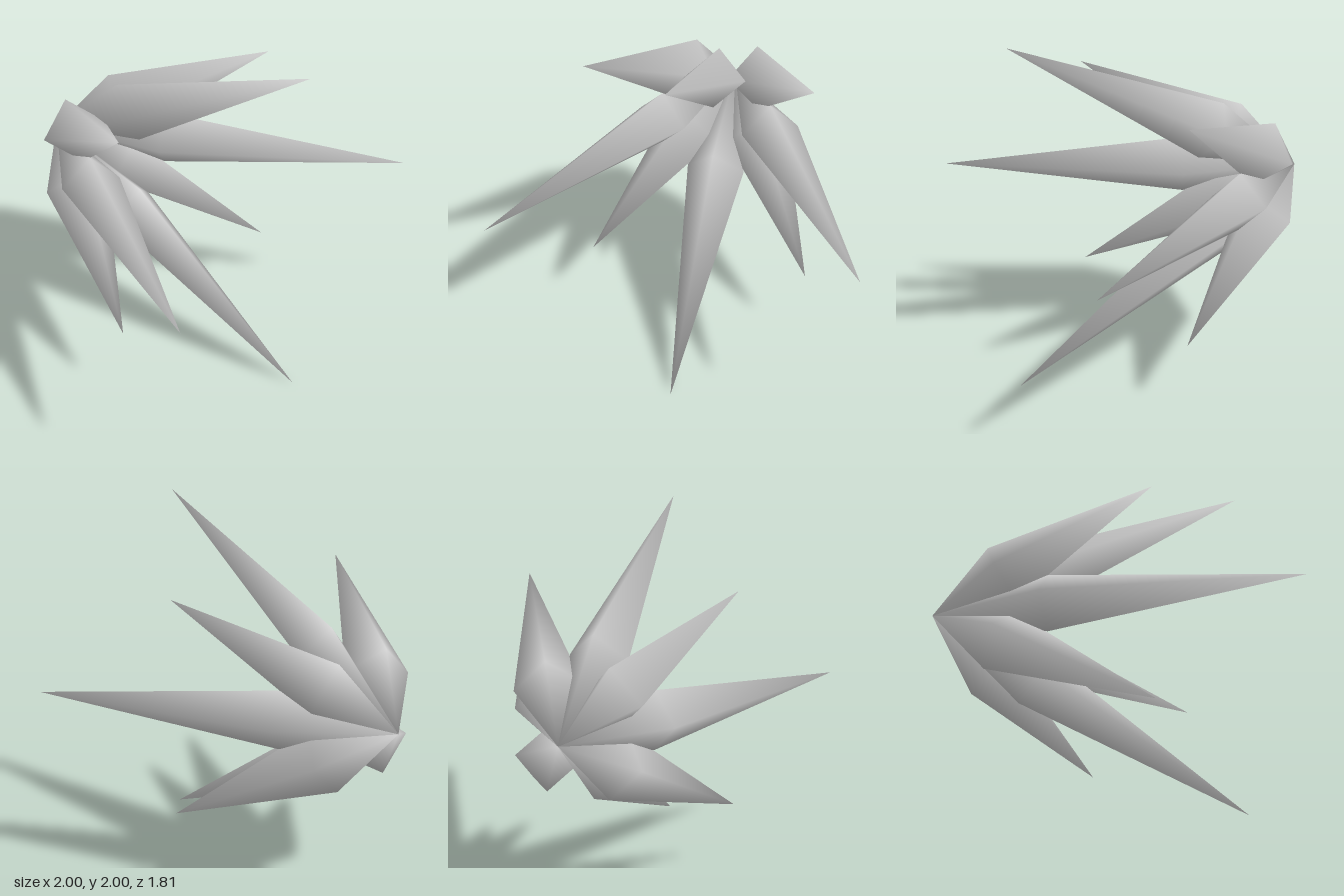
import * as THREE from 'three';

const BACK_Z = -0.905;

// Four-sided spike: back apex, ring of four corners around its axis, front tip.
function spikeGeometry(tipRadius, tipZ, ringRadius, ringAt, twist) {
  const apex = new THREE.Vector3(0, 0, BACK_Z);
  const tip = new THREE.Vector3(0, tipRadius, tipZ);
  const axis = tip.clone().sub(apex).normalize();
  const side = new THREE.Vector3(1, 0, 0);
  const outward = axis.clone().cross(side);
  const centre = apex.clone().lerp(tip, ringAt);

  const points = [apex, tip];
  const index = [];
  for (let i = 0; i < 4; i++) {
    const a = twist + (i * Math.PI) / 2;
    points.push(centre.clone()
      .addScaledVector(side, Math.cos(a) * ringRadius)
      .addScaledVector(outward, Math.sin(a) * ringRadius));
    const p = 2 + i, q = 2 + ((i + 1) % 4);
    index.push(p, q, 1, q, p, 0);
  }
  const geometry = new THREE.BufferGeometry().setFromPoints(points);
  geometry.setIndex(index);
  geometry.computeVertexNormals();
  return geometry;
}

export function createModel() {
  const model = new THREE.Group();
  model.name = 'spikeBurst';
  const grey = new THREE.MeshStandardMaterial({ color: 0xcccccc });
  grey.name = 'light grey';

  // Long spikes show a ridge outward, short ones a flat side
  const longSpike = spikeGeometry(1, 0.905, 0.17, 0.32, 0);
  const shortSpike = spikeGeometry(0.89, 0.18, 0.185, 0.32, Math.PI / 4);

  // Alternate long and short spikes around the z axis
  for (let i = 0; i < 8; i++) {
    const isLong = i % 2 === 0;
    const spike = new THREE.Mesh(isLong ? longSpike : shortSpike, grey);
    spike.name = (isLong ? 'longSpike' : 'shortSpike') + (Math.floor(i / 2) + 1);
    spike.position.y = 1;
    spike.rotation.z = (i * Math.PI) / 4;
    model.add(spike);
  }
  return model;
}
